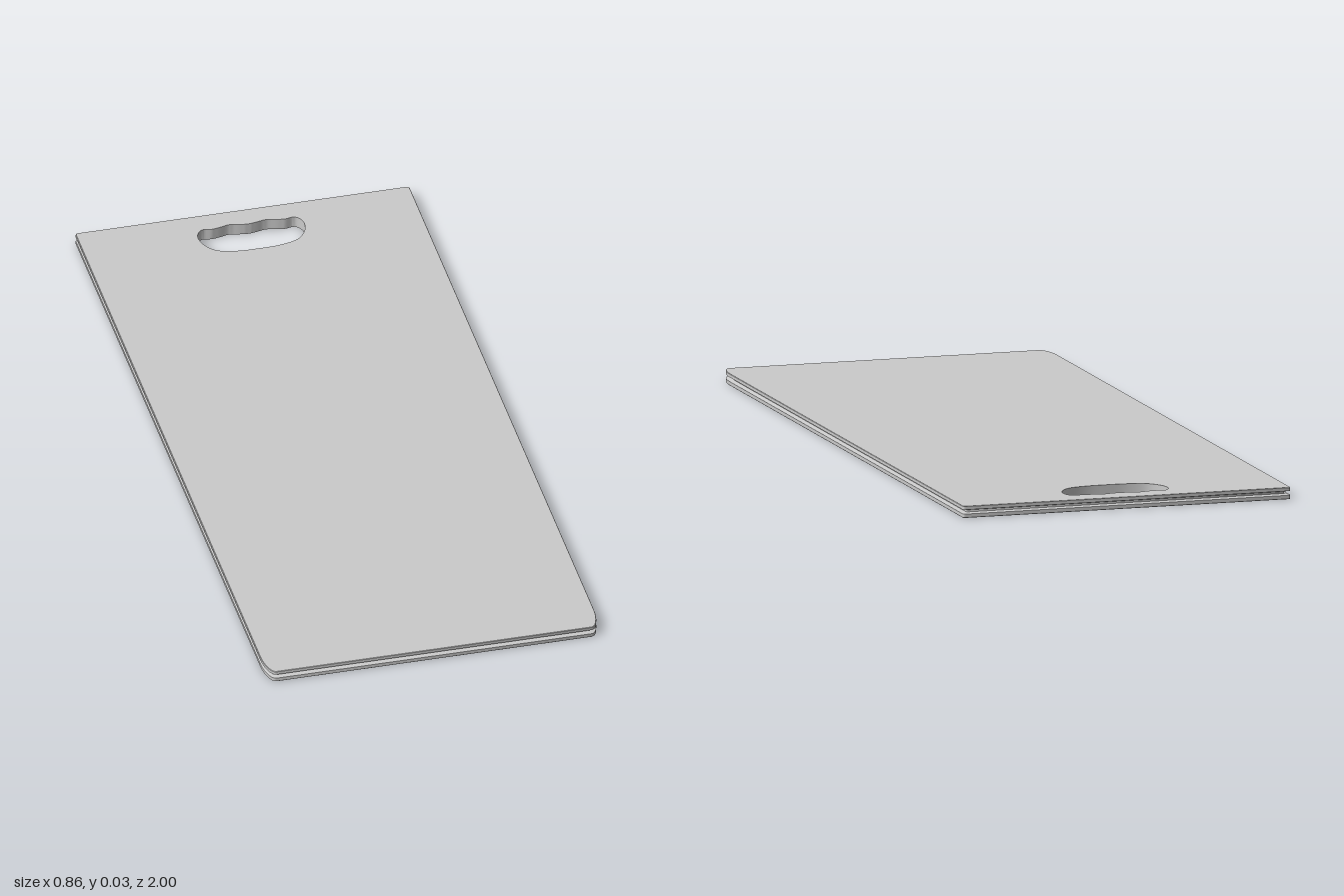
import * as THREE from 'three';
import { toCreasedNormals } from 'three/addons/utils/BufferGeometryUtils.js';

const HALF_W = 0.432, HALF_L = 1, HEIGHT = 0.03;

// Board outline (x, -z), counter-clockwise: soft corners at the front, tight ones at the back
function outline(inset) {
  const w = HALF_W - inset, l = HALF_L - inset, pts = [], steps = 8;
  const corners = [[1, -1, 0.024, 0.075], [1, 1, 0.006, 0.006], [-1, 1, 0.006, 0.006], [-1, -1, 0.024, 0.075]];
  corners.forEach(([sx, sy, rx, ry], c) => {
    for (let i = 0; i <= steps; i++) {
      const a = (c - 1 + i / steps) * Math.PI / 2;
      pts.push(new THREE.Vector2(sx * (w - rx) + rx * Math.cos(a), sy * (l - ry) + ry * Math.sin(a)));
    }
  });
  return pts;
}

// Handle hole with finger scallops, mirrored from one half
function handleHole() {
  const half = [[0, 0.936], [0.022, 0.939], [0.047, 0.944], [0.075, 0.938], [0.095, 0.935], [0.12, 0.938],
    [0.136, 0.917], [0.133, 0.88], [0.108, 0.844], [0.06, 0.828], [0, 0.825]];
  const mirrored = half.slice(1, -1).reverse().map(([x, y]) => [-x, y]);
  const curve = new THREE.CatmullRomCurve3(
    [...half, ...mirrored].map(([x, y]) => new THREE.Vector3(x, y, 0)), true);
  return curve.getPoints(80).slice(0, -1).map(p => new THREE.Vector2(p.x, p.y));
}

// Wall through a stack of equal-length loops, each { y, pts }
function wall(loops) {
  const n = loops[0].pts.length, pos = [], idx = [];
  loops.forEach(({ y, pts }) => pts.forEach(p => pos.push(p.x, y, -p.y)));
  for (let k = 0; k < loops.length - 1; k++) {
    for (let i = 0; i < n; i++) {
      const j = (i + 1) % n, a = k * n + i, b = k * n + j;
      idx.push(a, b, b + n, a, b + n, a + n);
    }
  }
  const g = new THREE.BufferGeometry();
  g.setAttribute('position', new THREE.Float32BufferAttribute(pos, 3));
  g.setIndex(idx);
  return toCreasedNormals(g, 0.5);
}

export function createModel() {
  const board = new THREE.Group();
  board.name = 'cuttingBoard';
  const material = new THREE.MeshStandardMaterial({ color: 0xcccccc });
  const add = (name, geometry) => {
    const mesh = new THREE.Mesh(geometry, material);
    mesh.name = name;
    board.add(mesh);
  };

  // Flat faces with the handle opening
  const hole = handleHole();
  const face = side => {
    const shape = new THREE.Shape(outline(0.001));
    shape.holes.push(new THREE.Path(hole));
    const g = new THREE.ShapeGeometry(shape);
    if (side < 0) g.scale(-1, 1, 1).rotateX(Math.PI / 2).rotateY(Math.PI);
    else g.rotateX(-Math.PI / 2);
    return g;
  };
  add('topFace', face(1).translate(0, HEIGHT, 0));
  // The underside is the same face with its winding turned over
  const under = face(1);
  under.index.array.reverse();
  under.computeVertexNormals();
  add('bottomFace', under);

  // Rim with a groove running all round: [height, inset]
  const profile = [[0, 0.001], [0.001, 0], [0.01, 0], [0.013, 0.012], [0.018, 0.012], [0.021, 0], [0.029, 0], [HEIGHT, 0.001]];
  add('groovedRim', wall(profile.map(([y, inset]) => ({ y, pts: outline(inset) }))));

  // Inner wall of the handle opening; the half list runs clockwise, so it faces inward
  add('handleOpening', wall([{ y: 0, pts: hole }, { y: HEIGHT, pts: hole }]));

  return board;
}
